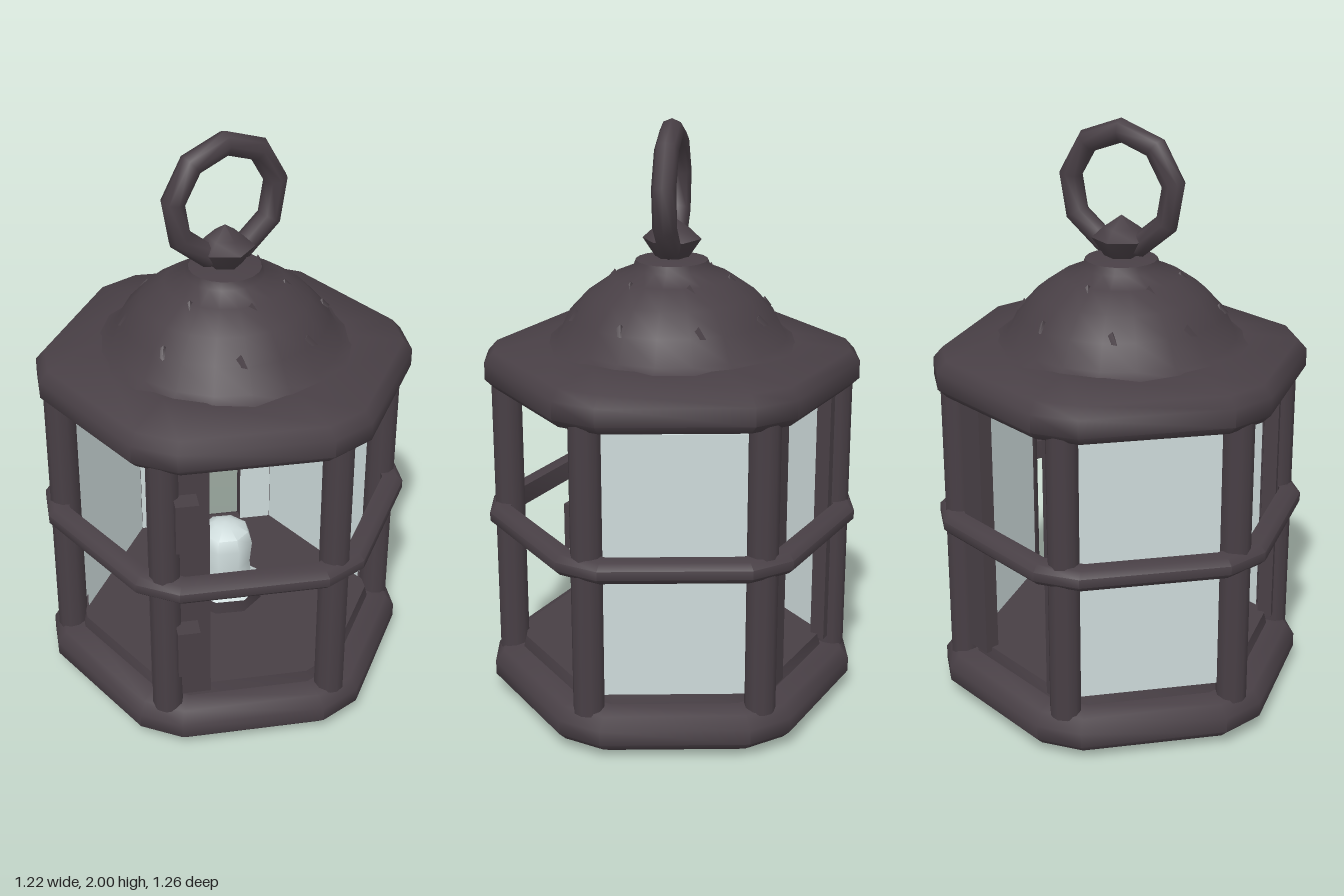
import * as THREE from 'three';
import { toCreasedNormals } from 'three/addons/utils/BufferGeometryUtils.js';

const rad = THREE.MathUtils.degToRad;
const CORNER = 21; // first hexagon corner, degrees from +x towards +z
const BLUNT = 7; // half angle of each cut corner, in degrees

export function createModel() {
  const model = new THREE.Group();
  const iron = new THREE.MeshStandardMaterial({ color: 0x483f45 });
  iron.name = 'dark iron';
  const glass = new THREE.MeshStandardMaterial({ color: 0xcddada });
  glass.name = 'pale glass';

  function add(name, geometry, material, parent = model) {
    const mesh = new THREE.Mesh(geometry, material);
    mesh.name = name;
    parent.add(mesh);
    return mesh;
  }
  const turned = (profile, sides) =>
    new THREE.LatheGeometry(profile.map(([r, y]) => new THREE.Vector2(r, y)), sides);
  const lathe = (profile, sides) => toCreasedNormals(turned(profile, sides), 0.9);

  // Hexagonal ring with blunt corners: two columns of the lathe move to each corner
  function hex(profile) {
    const geometry = turned(profile, 12);
    const pos = geometry.attributes.position;
    const shrink = Math.cos(rad(30)) / Math.cos(rad(30 - BLUNT));
    for (let v = 0; v < pos.count; v++) {
      const column = Math.floor(v / profile.length);
      const a = rad(CORNER - 60 * Math.floor(column / 2) + (column % 2 ? -BLUNT : BLUNT));
      const r = profile[v % profile.length][0] * shrink;
      pos.setX(v, r * Math.cos(a));
      pos.setZ(v, r * Math.sin(a));
    }
    return toCreasedNormals(geometry, 0.9);
  }

  // Hexagonal base, rims and middle band
  add('base', hex([[0, 0], [0.58, 0], [0.635, 0.03], [0.668, 0.06], [0.668, 0.11], [0.635, 0.15],
    [0.56, 0.16], [0.55, 0.2], [0, 0.2]]), iron);
  add('roofRim', hex([[0, 1.09], [0.55, 1.09], [0.57, 1.12], [0.635, 1.12], [0.668, 1.15],
    [0.668, 1.21], [0.635, 1.245], [0.45, 1.27], [0, 1.27]]), iron);
  add('middleBand', hex([[0.59, 0.625], [0.645, 0.625], [0.668, 0.645], [0.668, 0.675],
    [0.645, 0.695], [0.59, 0.695], [0.59, 0.625]]), iron);

  // Dome with small raised vents
  add('dome', lathe([[0.44, 1.26], [0.385, 1.28], [0.345, 1.36], [0.28, 1.43], [0.2, 1.485],
    [0.13, 1.515], [0.12, 1.54], [0.05, 1.55], [0, 1.55]], 20), iron);
  const vents = new THREE.Group();
  vents.name = 'domeVents';
  model.add(vents);
  for (const [count, r, y, turn] of [[8, 0.325, 1.375, 22], [6, 0.195, 1.48, 35]]) {
    for (let i = 0; i < count; i++) {
      const a = rad(turn) + i * Math.PI * 2 / count;
      const vent = add('vent', new THREE.ConeGeometry(0.034, 0.036, 3), iron, vents);
      vent.position.set(r * Math.cos(a), y, r * Math.sin(a));
      vent.rotation.y = -a;
    }
  }

  // Knob and hanging ring
  add('knob', lathe([[0, 1.53], [0.05, 1.54], [0.098, 1.61], [0.06, 1.645], [0, 1.685]], 6), iron);
  const ring = add('hangingRing', new THREE.TorusGeometry(0.19, 0.04, 8, 9), iron);
  ring.position.set(0, 1.77, 0);
  ring.rotation.z = rad(10);

  // Corner posts
  for (let i = 0; i < 6; i++) {
    const a = rad(CORNER + i * 60);
    const post = add('cornerPost', new THREE.CylinderGeometry(0.052, 0.052, 1, 10), iron);
    post.position.set(0.56 * Math.cos(a), 0.64, 0.56 * Math.sin(a));
  }

  // Group whose local +z looks outwards through the side at the given angle
  function side(name, degrees) {
    const g = new THREE.Group();
    g.name = name;
    g.rotation.y = rad(90 - degrees);
    model.add(g);
    return g;
  }
  // Glass sheet seen only from inside, hiding the posts behind it
  function innerGlass(parent, from, to) {
    const sheet = add('innerGlass', new THREE.PlaneGeometry(to - from, 0.89), glass, parent);
    sheet.position.set((from + to) / 2, 0.645, 0.435);
    sheet.rotation.y = Math.PI;
  }

  // Two fully glazed sides
  for (const [name, degrees] of [['leftPane', CORNER - 30], ['backPane', CORNER + 210]]) {
    const pane = side(name, degrees);
    add('glassPane', new THREE.BoxGeometry(0.52, 0.9, 0.02), glass, pane).position.set(0, 0.645, 0.475);
    innerGlass(pane, -0.251, 0.251);
  }

  // Open sides: narrow iron stiles backed with glass
  for (const [degrees, from, to] of [[CORNER + 270, -0.25, -0.135], [CORNER + 270, 0.2, 0.25],
    [CORNER + 90, -0.25, -0.135], [CORNER + 150, 0.21, 0.25]]) {
    const edge = side('openSideEdge', degrees);
    add('stile', new THREE.BoxGeometry(to - from, 0.92, 0.05), iron, edge)
      .position.set((from + to) / 2, 0.645, 0.475);
    innerGlass(edge, from, to);
  }

  // Hinge plates
  const hinges = side('hinges', CORNER + 90);
  for (const y of [0.92, 0.41]) {
    add('hingePlate', new THREE.BoxGeometry(0.075, 0.18, 0.07), iron, hinges).position.set(-0.215, y, 0.53);
  }

  // Lamp inside
  add('lampSocket', lathe([[0.135, 0.19], [0.135, 0.25]], 8), iron);
  add('lampCollar', lathe([[0.135, 0.25], [0.1, 0.28], [0, 0.28]], 8), glass);
  add('lampBulb', lathe([[0.1, 0.27], [0.092, 0.36], [0.1, 0.44], [0.085, 0.485], [0.04, 0.51], [0, 0.515]], 8), glass);

  return model;
}
